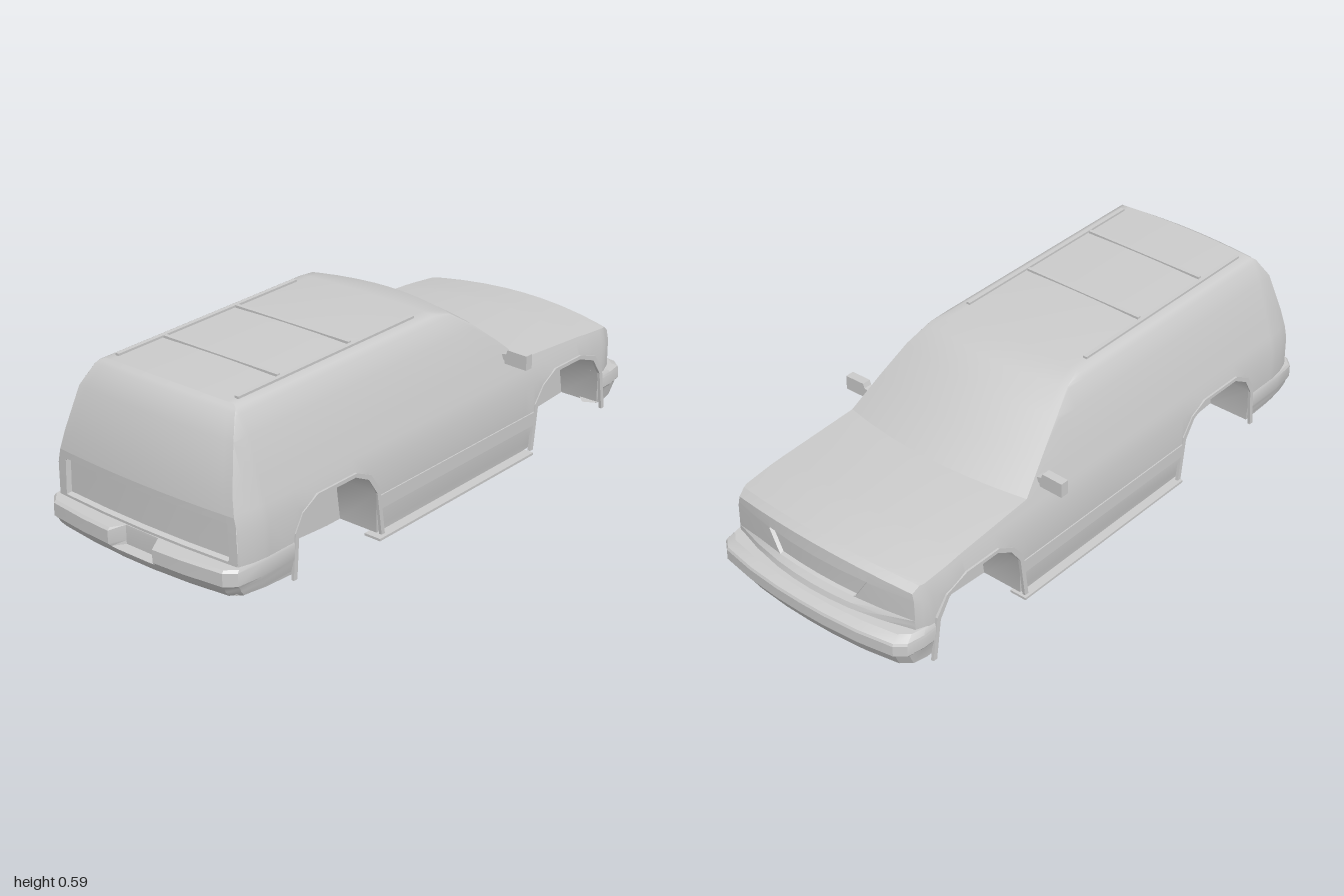
import * as THREE from 'three';
import { toCreasedNormals } from 'three/addons/utils/BufferGeometryUtils.js';

const material = new THREE.MeshStandardMaterial({ color: 0xcccccc, side: THREE.DoubleSide });

// Piecewise linear lookup in [key, value] pairs with rising keys
function lerpTable(table, k) {
  if (k <= table[0][0]) return table[0][1];
  for (let i = 1; i < table.length; i++) {
    const [k0, v0] = table[i - 1], [k1, v1] = table[i];
    if (k <= k1) return v0 + (v1 - v0) * (k - k0) / (k1 - k0);
  }
  return table[table.length - 1][1];
}

// Skin a list of equally long point rows
function loft(rows, crease = 0.5) {
  const n = rows[0].length, index = [];
  for (let i = 0; i < rows.length - 1; i++) {
    for (let j = 0; j < n - 1; j++) {
      const a = i * n + j, c = a + n;
      index.push(a, c, a + 1, a + 1, c, c + 1);
    }
  }
  const geo = new THREE.BufferGeometry();
  geo.setAttribute('position', new THREE.Float32BufferAttribute(rows.flat(2), 3));
  geo.setIndex(index);
  return toCreasedNormals(geo, crease);
}

// Body tables: half width by height, and heights by z
const sideX = [[0, 0.36], [0.04, 0.366], [0.1, 0.379], [0.255, 0.379], [0.31, 0.366], [0.39, 0.342],
  [0.5, 0.31], [0.56, 0.281], [0.575, 0.268], [0.583, 0.25]];
const topY = [[-0.89, 0.29], [-0.865, 0.308], [-0.7, 0.325], [-0.4, 0.345], [-0.3, 0.432], [-0.2, 0.513],
  [-0.12, 0.565], [-0.05, 0.581], [0.82, 0.581], [0.84, 0.565], [0.88, 0.5], [0.92, 0.36], [0.93, 0.3]];
const floorY = [[-0.95, 0.05], [-0.4, 0.02], [0.4, 0.02], [0.97, 0.06]];
const widthScale = [[-0.89, 0.945], [-0.85, 0.985], [-0.75, 1], [0.83, 1], [0.88, 0.985], [0.93, 0.945]];
const bow = [[-0.89, -0.035], [-0.4, -0.05], [-0.12, -0.045], [-0.05, 0], [0.8, 0], [0.84, 0.015]];
const crown = [[-0.89, 0.022], [-0.4, 0.012], [-0.2, 0.006], [0.82, 0.005], [0.93, 0]];
const frontArch = [[-0.83, 0.03], [-0.81, 0.165], [-0.77, 0.225], [-0.69, 0.255], [-0.56, 0.255],
  [-0.5, 0.22], [-0.46, 0.165], [-0.44, 0.02]];
const rearArch = [[0.33, 0.02], [0.35, 0.165], [0.39, 0.225], [0.45, 0.255], [0.61, 0.255],
  [0.67, 0.22], [0.7, 0.165], [0.71, 0.03]];
const arches = [...frontArch, ...rearArch];
const halfWidth = (y, z) => lerpTable(sideX, y) * lerpTable(widthScale, z);

// One closed section of the shell, including the wheel wells
function section(z) {
  const f = lerpTable(floorY, z), top = lerpTable(topY, z);
  const a = Math.max(f, lerpTable(arches, z));
  const half = [[0, f, z], [0.22, f, z], [0.22, a, z], [halfWidth(a, z), a, z]];
  for (const [level] of sideX.slice(1)) {
    const y = Math.min(Math.max(level, a), top);
    half.push([halfWidth(y, z), y, z]);
  }
  const edge = halfWidth(top, z);
  for (const t of [1, 0.9, 0.7, 0.45, 0.2, 0]) {
    const k = 1 - t * t;
    half.push([edge * t, top + lerpTable(crown, z) * k, z + lerpTable(bow, z) * k]);
  }
  return [...half, ...half.slice(0, -1).reverse().map(([x, y, w]) => [-x, y, w])];
}

// Bowed end panel; rows are [y, push outward, recess half width, recess depth]
function endPanel(dir, z, rows) {
  return loft(rows.map(([y, push, g, depth], r) => {
    const pos = [0, g / 2, g, g + 0.015, (1 + g) / 2, 1];
    const cols = [...pos.slice(1).reverse().map(t => -t), ...pos];
    return cols.map(t => {
      const k = 1 - t * t;
      const lift = r === rows.length - 1 ? lerpTable(crown, z) * k : 0;
      const out = (Math.abs(lerpTable(bow, z)) + push) * k - (Math.abs(t) <= g ? depth : 0);
      return [-dir * t * halfWidth(y, z), y + lift, z + dir * out];
    });
  }), 0.3);
}

// Wrap-around bumper; rows are [y, inset, notch depth]
function bumper(dir, plan, rows) {
  const full = [...plan.slice().reverse().map(([x, z]) => [-x, z]), ...plan];
  return loft(rows.map(([y, inset, notch]) => full.map(([x, z]) => {
    const k = Math.min(1, Math.max(0, (z - 0.8) / 0.14));
    const cut = Math.abs(x) < 0.07 ? notch : 0;
    return [dir * x * (1 - inset * 0.9), y, dir * (z - inset * k - cut)];
  })), 0.4);
}

// Raised lip that follows a wheel arch
function archLip(arch) {
  const mid = (arch[0][0] + arch[arch.length - 1][0]) / 2;
  const outer = arch.map(([z, y]) => [mid + (z - mid) * 1.08, y < 0.1 ? y : y + 0.012]);
  const shape = new THREE.Shape([...arch, ...outer.reverse()].map(([z, y]) => new THREE.Vector2(z, y)));
  const geo = new THREE.ExtrudeGeometry(shape, { depth: 0.01, bevelEnabled: false });
  return geo.rotateY(-Math.PI / 2).translate(0.005, 0, 0);
}

export function createModel() {
  const group = new THREE.Group();
  const add = (name, geo, x = 0, y = 0, z = 0, parent = group) => {
    const mesh = new THREE.Mesh(geo, material);
    mesh.name = name;
    mesh.position.set(x, y, z);
    parent.add(mesh);
    return mesh;
  };
  const box = (name, w, h, d, x, y, z, parent) =>
    add(name, new THREE.BoxGeometry(w, h, d), x, y, z, parent);

  // Main shell, skinned from rear to front
  const stations = [...new Set([...topY, ...arches, ...widthScale].map(p => p[0]))].sort((a, b) => b - a);
  add('bodyShell', loft(stations.map(section)));

  // Tailgate with recessed panel, and nose with recessed grille
  add('tailgate', endPanel(1, 0.93, [[0.058, 0, 0.9, 0], [0.158, 0, 0.9, 0], [0.163, 0, 0.9, 0.016],
    [0.272, 0, 0.9, 0.016], [0.277, 0, 0.9, 0], [0.3, 0, 0.9, 0]]));
  add('nose', endPanel(-1, -0.89, [[0.048, 0, 0.4, 0], [0.16, 0.03, 0.4, 0], [0.18, 0.022, 0.4, 0],
    [0.195, 0.005, 0.41, 0], [0.199, 0.005, 0.42, 0.012], [0.266, 0.005, 0.54, 0.012],
    [0.27, 0.005, 0.55, 0], [0.29, 0, 0.55, 0]]));

  // Bumpers, the rear one notched for the plate
  add('rearBumper', bumper(1, [[0, 1], [0.065, 1], [0.09, 0.998], [0.2, 0.992], [0.34, 0.975], [0.372, 0.945],
    [0.382, 0.86], [0.382, 0.71]],
  [[0.15, 0.1, 0], [0.15, 0.008, 0.045], [0.142, 0, 0.052], [0.1, 0, 0.052], [0.088, 0.012, 0.04],
    [0.088, 0.012, 0], [0.075, 0.018, 0], [0.055, 0.035, 0], [0.055, 0.14, 0]]));
  add('frontBumper', bumper(-1, [[0, 1], [0.1, 0.998], [0.22, 0.988], [0.34, 0.967], [0.372, 0.94],
    [0.382, 0.88], [0.382, 0.83]],
  [[0.165, 0.1, 0], [0.163, 0.03, 0], [0.148, 0.004, 0], [0.14, 0, 0], [0.105, 0, 0], [0.098, 0.012, 0],
    [0.05, 0.035, 0], [0.05, 0.14, 0]]));

  for (const s of [1, -1]) {
    // Arch lips and side mouldings
    add('frontArchLip', archLip(frontArch), s * 0.378);
    add('rearArchLip', archLip(rearArch), s * 0.378);
    box('sideMoulding', 0.012, 0.045, 0.79, s * 0.377, 0.13, -0.055);

    // Running board on three brackets
    box('runningBoard', 0.06, 0.008, 0.78, s * 0.355, 0.006, -0.05);
    for (const z of [0.21, -0.05, -0.31]) box('boardBracket', 0.02, 0.02, 0.03, s * 0.338, 0.014, z);

    // Door mirror
    const mirror = new THREE.Group();
    mirror.name = 'doorMirror';
    group.add(mirror);
    const shell = new THREE.Shape([[0.355, 0.357], [0.437, 0.355], [0.437, 0.403], [0.364, 0.405], [0.359, 0.39],
      [0.335, 0.386], [0.335, 0.37], [0.352, 0.37]].map(([x, y]) => new THREE.Vector2(s * x, y)));
    add('mirrorShell', new THREE.ExtrudeGeometry(shell, { depth: 0.03, bevelEnabled: false }), 0, 0, -0.34, mirror);

    // Roof rail
    box('roofRail', 0.014, 0.014, 0.78, s * 0.236, 0.582, 0.4);
  }

  // Roof crossbars
  for (const z of [0.29, 0.603]) box('roofCrossbar', 0.45, 0.008, 0.013, 0, 0.587, z);

  return group;
}
